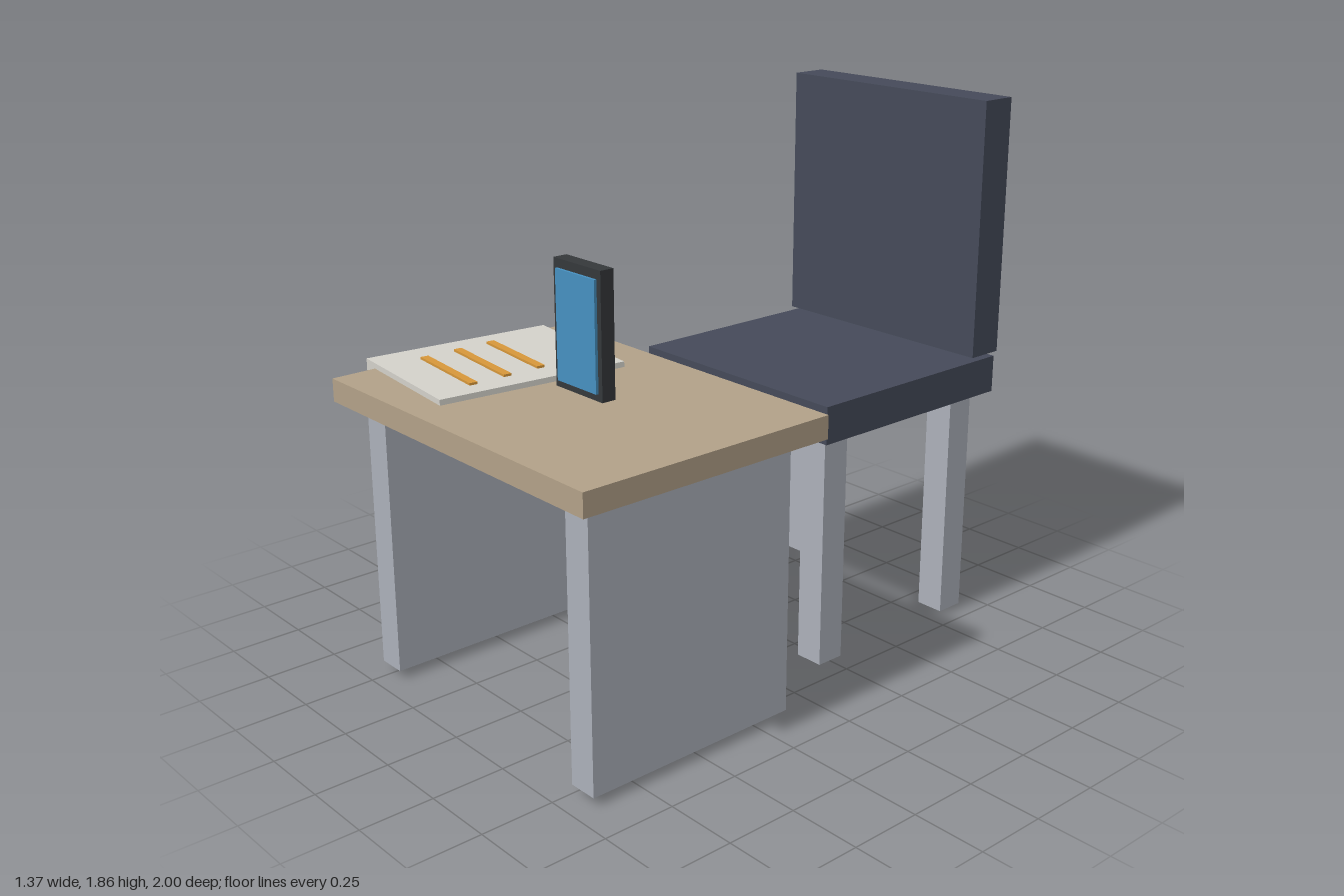
import * as THREE from 'three';

const mat = (color) => new THREE.MeshStandardMaterial({ color });

// Box given by its extents along each axis
function box(name, material, [x0, x1], [y0, y1], [z0, z1]) {
  const mesh = new THREE.Mesh(new THREE.BoxGeometry(x1 - x0, y1 - y0, z1 - z0), material);
  mesh.position.set((x0 + x1) / 2, (y0 + y1) / 2, (z0 + z1) / 2);
  mesh.name = name;
  return mesh;
}

function group(name, ...parts) {
  const g = new THREE.Group();
  g.name = name;
  g.add(...parts);
  return g;
}

export function createModel() {
  const wood = mat(0xb2a188);
  const metal = mat(0xacb0ba);
  const fabric = mat(0x454a59);
  const paper = mat(0xd4d2cb);
  const ink = mat(0xd8983a);
  const dark = mat(0x35383b);
  const glass = mat(0x4690c0);

  // Desk: top on two side panels
  const desk = group('desk',
    box('deskTop', wood, [-0.625, 0.68], [0.957, 1.035], [0.06, 1]),
    box('rightPanel', metal, [-0.545, -0.443], [0.03, 0.957], [0.14, 0.925]),
    box('leftPanel', metal, [0.5, 0.602], [0.03, 0.957], [0.14, 0.925]));

  // Chair: seat, backrest and four legs
  const chair = group('chair',
    box('seat', fabric, [-0.415, 0.472], [0.827, 0.957], [-0.985, -0.152]),
    box('backrest', fabric, [-0.415, 0.472], [0.972, 1.86], [-1, -0.87]));
  for (const x of [-0.365, 0.315]) {
    for (const z of [-0.932, -0.305]) {
      chair.add(box('chairLeg', metal, [x, x + 0.104], [0, 0.827], [z, z + 0.104]));
    }
  }

  // Upright tablet with a screen
  const tablet = group('tablet',
    box('tabletBody', dark, [-0.09, 0.143], [1.035, 1.455], [0.452, 0.503]),
    box('screen', glass, [-0.07, 0.124], [1.06, 1.425], [0.495, 0.513]));

  // Turned sheet with three raised lines
  const turn = -0.107;
  const sheet = box('sheet', paper, [-0.652, -0.132], [1.014, 1.054], [0.19, 0.865]);
  sheet.rotation.y = turn;
  const pages = group('document', sheet);
  for (const z of [0.448, 0.58, 0.711]) {
    const line = box('line', ink, [-0.559, -0.221], [1.048, 1.062], [z - 0.014, z + 0.014]);
    line.rotation.y = turn;
    pages.add(line);
  }

  return group('deskAndChair', desk, chair, tablet, pages);
}
